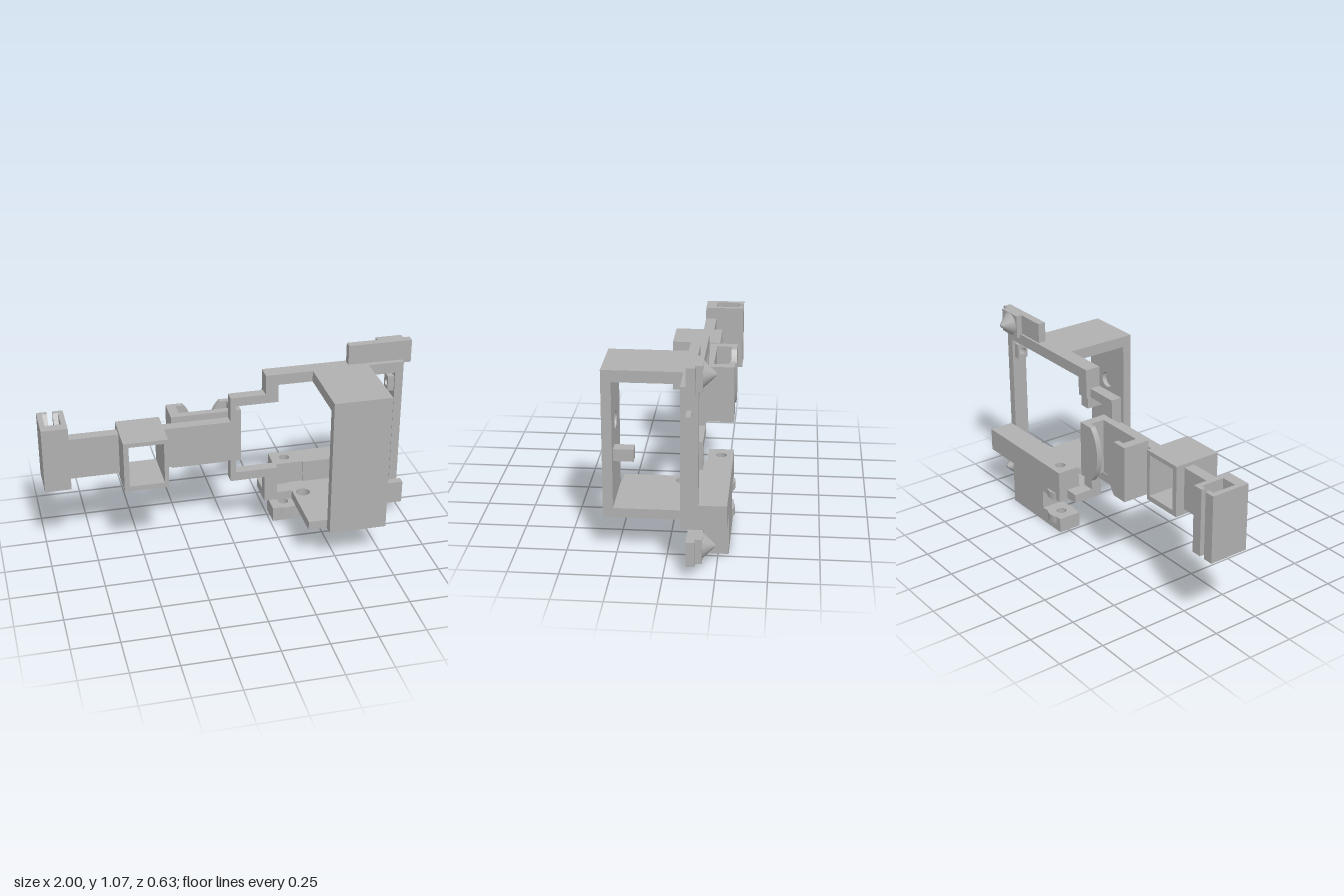
import * as THREE from 'three';

const grey = new THREE.MeshStandardMaterial({ color: 0xb0b0b0 });
grey.name = 'grey plastic';

export function createModel() {
  const root = new THREE.Group();
  root.name = 'bracketAssembly';

  const add = (name, geo) => {
    const m = new THREE.Mesh(geo, grey);
    m.name = name;
    root.add(m);
    return m;
  };
  // Box from its limits on each axis
  const box = (name, x0, x1, y0, y1, z0, z1) =>
    add(name, new THREE.BoxGeometry(x1 - x0, y1 - y0, z1 - z0)
      .translate((x0 + x1) / 2, (y0 + y1) / 2, (z0 + z1) / 2));
  const poly = (pts) => new THREE.Shape(pts.map(([a, b]) => new THREE.Vector2(a, b)));
  const rect = (a0, a1, b0, b1) => poly([[a0, b0], [a1, b0], [a1, b1], [a0, b1]]);
  const hole = (shape, a, b, r) => {
    shape.holes.push(new THREE.Path().absarc(a, b, r, 0, Math.PI * 2, true));
    return shape;
  };
  const extrude = (shape, d) =>
    new THREE.ExtrudeGeometry(shape, { depth: d, bevelEnabled: false, curveSegments: 12 });
  // Extrusions along z (x, y), along y (x, -z) and along x (-z, y)
  const alongZ = (name, s, z0, z1) => add(name, extrude(s, z1 - z0).translate(0, 0, z0));
  const alongY = (name, s, y0, y1) =>
    add(name, extrude(s, y1 - y0).rotateX(-Math.PI / 2).translate(0, y0, 0));
  const alongX = (name, s, x0, x1) =>
    add(name, extrude(s, x1 - x0).rotateY(Math.PI / 2).translate(x0, 0, 0));

  // Flat arm
  box('armOuter', -0.86, -0.6, 0.48, 0.71, -0.14, -0.08);
  box('armInner', -0.365, 0.0, 0.48, 0.71, -0.14, -0.08);

  // Square sleeve
  const sleeve = rect(-0.6, -0.365, 0.45, 0.73);
  sleeve.holes.push(new THREE.Path(rect(-0.572, -0.387, 0.478, 0.707).getPoints()));
  alongZ('sleeve', sleeve, -0.19, 0.07);

  // End clip: channel with a slit at the back and tapered inner lips
  box('endClipBase', -1, -0.86, 0.415, 0.775, -0.14, -0.08);
  for (const s of [-1, 1]) {
    const span = (a, b) => [-0.93 + s * a, -0.93 + s * b].sort((p, q) => p - q);
    box('endClipWall', ...span(0.042, 0.07), 0.415, 0.775, -0.295, -0.14);
    box('endClipBack', ...span(0.015, 0.042), 0.415, 0.775, -0.295, -0.27);
    alongX('endClipLip', poly([[0.19, 0.56], [0.27, 0.415], [0.27, 0.775], [0.19, 0.63]]),
      ...span(0.015, 0.042));
  }

  // Middle clip: channel with bulging lips
  box('midClipBase', -0.31, 0.07, 0.44, 0.745, -0.18, -0.139);
  for (const s of [-1, 1]) {
    const x = (d) => -0.12 + s * d;
    box('midClipWall', Math.min(x(0.14), x(0.19)), Math.max(x(0.14), x(0.19)), 0.44, 0.745, -0.29, -0.14);
    const lip = new THREE.Shape();
    lip.moveTo(x(0.14), 0.44);
    lip.lineTo(x(0.1), 0.44);
    lip.quadraticCurveTo(x(0.045), 0.5, x(0.045), 0.5925);
    lip.quadraticCurveTo(x(0.045), 0.685, x(0.1), 0.745);
    lip.lineTo(x(0.14), 0.745);
    alongZ('midClipLip', lip, -0.29, -0.26);
  }

  // Thin fork joining the arm to the frame
  box('forkSpine', 0, 0.03, 0.35, 0.85, -0.14, -0.08);
  box('forkTop', 0.03, 0.19, 0.80, 0.85, -0.14, -0.08);
  box('forkBottom', 0.03, 0.19, 0.35, 0.40, -0.14, -0.08);

  // Upright frame with pin holes
  alongX('upperLeg', hole(rect(0.08, 0.165, 0.80, 0.96), 0.12, 0.83, 0.02), 0.19, 0.26);
  box('lowerLeg', 0.19, 0.26, 0.2, 0.40, -0.14, -0.08);
  box('lowerFoot', 0.19, 0.265, 0.2, 0.25, -0.25, -0.08);
  box('frameTop', 0.26, 0.905, 0.9, 0.96, -0.165, -0.08);
  alongX('framePost', hole(rect(0.08, 0.165, 0.24, 0.96), 0.12, 0.83, 0.02), 0.905, 0.95);
  alongX('pinLug', hole(rect(0.09, 0.15, 0.79, 0.875), 0.12, 0.83, 0.02), 0.87, 0.905);

  // Deep housing: top, bottom and front plate with a blind recess and peg
  box('housingTop', 0.445, 0.755, 0.9, 0.96, -0.08, 0.265);
  box('housingBottom', 0.445, 0.755, 0.195, 0.245, -0.173, 0.265);
  box('housingFront', 0.445, 0.755, 0.195, 0.96, 0.29, 0.315);
  alongZ('housingInnerFace', hole(rect(0.445, 0.755, 0.195, 0.96), 0.6, 0.65, 0.045), 0.265, 0.29);
  box('peg', 0.65, 0.715, 0.477, 0.54, 0.165, 0.265);
  alongY('bottomLedge', hole(rect(0.345, 0.445, -0.26, 0.173), 0.4, 0.05, 0.038), 0.195, 0.245);
  box('ledgeLink', 0.26, 0.345, 0.195, 0.245, -0.165, -0.08);

  // Rear rail and hinge block with two ears
  const ear = () => hole(rect(0.265, 0.43, 0.173, 0.302), 0.342, 0.24, 0.028);
  box('rail', 0.43, 0.95, 0.24, 0.367, -0.302, -0.165);
  box('hingeBlock', 0.43, 0.725, 0.003, 0.24, -0.302, -0.173);
  alongY('upperEar', ear(), 0.19, 0.367);
  alongY('lowerEar', ear(), 0.003, 0.085);
  for (const y of [0.042, 0.187]) {
    const ring = hole(new THREE.Shape().absarc(0.342, 0.24, 0.075, 0, Math.PI * 2), 0.342, 0.24, 0.028);
    alongY('hingeRing', ring, y, y + 0.043);
  }

  // Side tabs with cone studs
  for (const y of [1.005, 0.132]) {
    box('tab', 0.65, 1, y - 0.064, y + 0.064, -0.153, -0.11);
    box('studBase', 0.82, 0.965, y - 0.064, y + 0.064, -0.185, -0.153);
    add('coneStud', new THREE.CylinderGeometry(0.008, 0.063, 0.058, 32)
      .rotateX(-Math.PI / 2).translate(0.892, y, -0.214));
  }

  return root;
}
